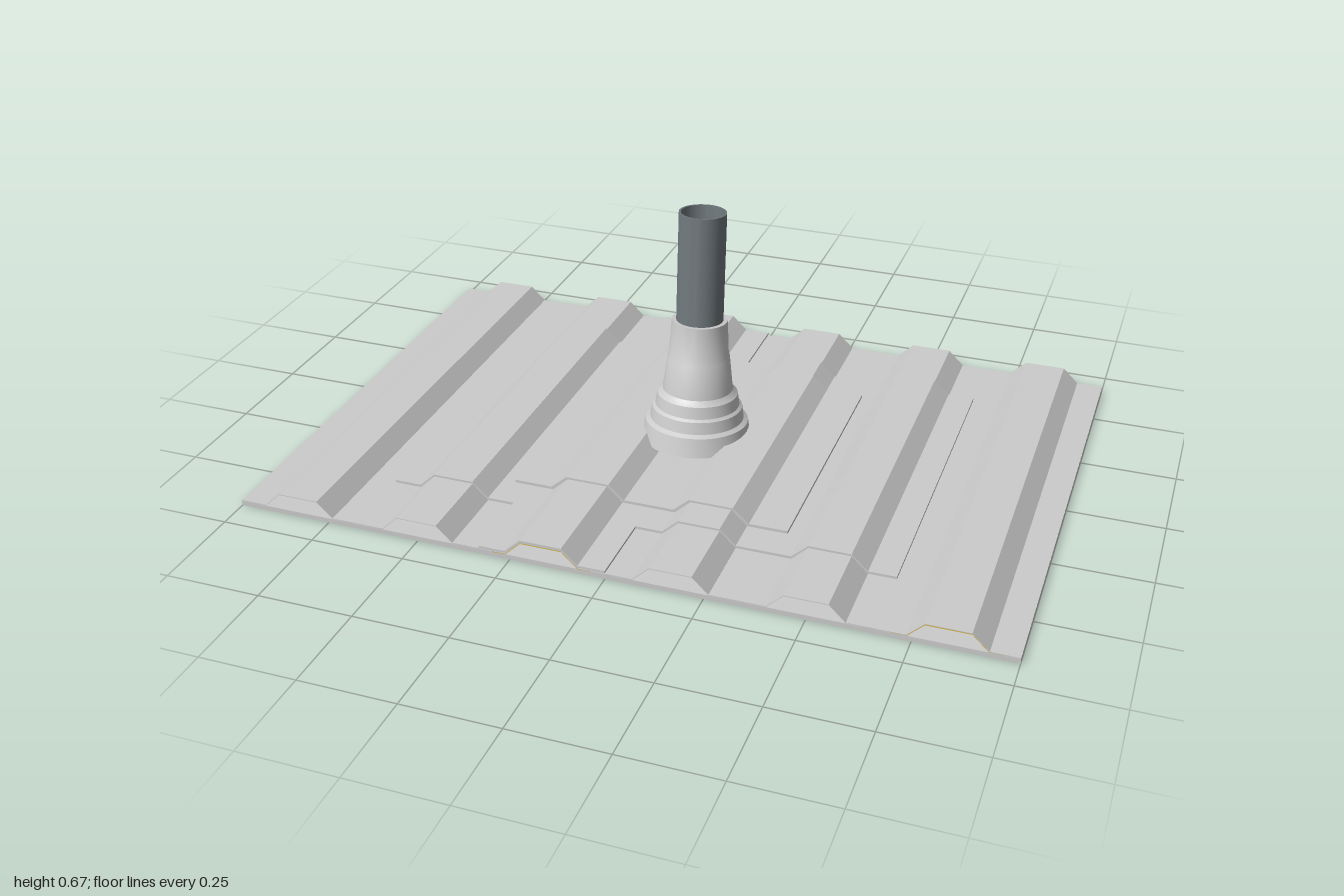
import * as THREE from 'three';
import { toCreasedNormals } from 'three/addons/utils/BufferGeometryUtils.js';

const metal = new THREE.MeshStandardMaterial({ color: 0xcccccc, side: THREE.DoubleSide });
const pipeGrey = new THREE.MeshStandardMaterial({ color: 0x70787c, side: THREE.DoubleSide });
const yellow = new THREE.MeshStandardMaterial({ color: 0xd8b030, side: THREE.DoubleSide });

const DEPTH = 0.667;
const RIBS = [-5, -3, -1, 1, 3, 5].map((i) => i / 6);

// Top line of a ribbed sheet between two x positions
function ribLine(x0, x1, base, top, grow = 0) {
  const pts = [[x0, base]];
  for (const c of RIBS) {
    if (c < x0 || c > x1) continue;
    const foot = 0.096 + grow, crest = 0.054 + grow;
    pts.push([c - foot, base], [c - crest, top], [c + crest, top], [c + foot, base]);
  }
  pts.push([x1, base]);
  return pts;
}

// Extrudes a ribbed line along z, closed below by the given lower line
function ribbed(name, upper, lower, z0, z1, material = metal) {
  const pts = [...upper, ...lower.slice().reverse()].map(([x, y]) => new THREE.Vector2(x, y));
  const geo = new THREE.ExtrudeGeometry(new THREE.Shape(pts), { depth: z1 - z0, bevelEnabled: false });
  geo.translate(0, 0, z0);
  const mesh = new THREE.Mesh(geo, material);
  mesh.name = name;
  return mesh;
}

const lowered = (line, d) => line.map(([x, y]) => [x, y - d]);
const floorOf = (line, y) => [[line[0][0], y], [line[line.length - 1][0], y]];

function lathe(name, profile, material) {
  const pts = profile.map(([r, y]) => new THREE.Vector2(r, y));
  const mesh = new THREE.Mesh(toCreasedNormals(new THREE.LatheGeometry(pts, 48), 0.5), material);
  mesh.name = name;
  return mesh;
}

export function createModel() {
  const model = new THREE.Group();
  model.name = 'roofPipeFlashing';

  // Flat backing board
  const board = new THREE.Mesh(new THREE.BoxGeometry(2, 0.013, DEPTH * 2), metal);
  board.position.y = 0.0065;
  board.name = 'backingBoard';
  model.add(board);

  // Thin ribbed roof sheet with hollow ribs
  const sheet = ribLine(-1, 1, 0.0155, 0.056);
  model.add(ribbed('roofSheet', sheet, lowered(sheet, 0.002), -DEPTH, DEPTH));

  // Sealant beneath the overlapping ribs
  for (const c of [RIBS[2], RIBS[5]]) {
    const seal = ribLine(c - 0.13, c + 0.13, 0.0135, 0.054);
    model.add(ribbed('sealant', seal, lowered(seal, 0.002), -DEPTH, DEPTH, yellow));
  }

  // Lap strip over one rib, in front of and behind the flashing
  const lap = ribLine(-0.333, 0, 0.0225, 0.0615);
  for (const [z0, z1] of [[-DEPTH, -0.465], [0.46, DEPTH]]) {
    model.add(ribbed('lapStrip', lap, lowered(lap, 0.006), z0, z1));
  }

  // Wide flashing and the smaller boot flange on top of it
  const wide = ribLine(-0.667, 0.667, 0.0225, 0.0615);
  model.add(ribbed('flashing', wide, floorOf(wide, 0.013), -0.465, 0.46));
  const flange = ribLine(-0.368, 0.368, 0.03, 0.067, 0.004);
  model.add(ribbed('bootFlange', flange, floorOf(flange, 0.02), -0.37, 0.368));

  // Stepped boot and open pipe, leaning back together
  const stack = new THREE.Group();
  stack.name = 'pipeStack';
  stack.rotation.x = -0.081;
  stack.add(lathe('boot', [
    [0.148, 0.034], [0.138, 0.085], [0.126, 0.092],
    [0.121, 0.124], [0.113, 0.13],
    [0.108, 0.162], [0.098, 0.17],
    [0.094, 0.175], [0.083, 0.268], [0.08, 0.274],
    [0.074, 0.371], [0.0625, 0.371],
  ], metal));
  stack.add(lathe('pipe', [
    [0.0625, 0.06], [0.0625, 0.668], [0.057, 0.668], [0.057, 0.06],
  ], pipeGrey));
  model.add(stack);

  return model;
}
